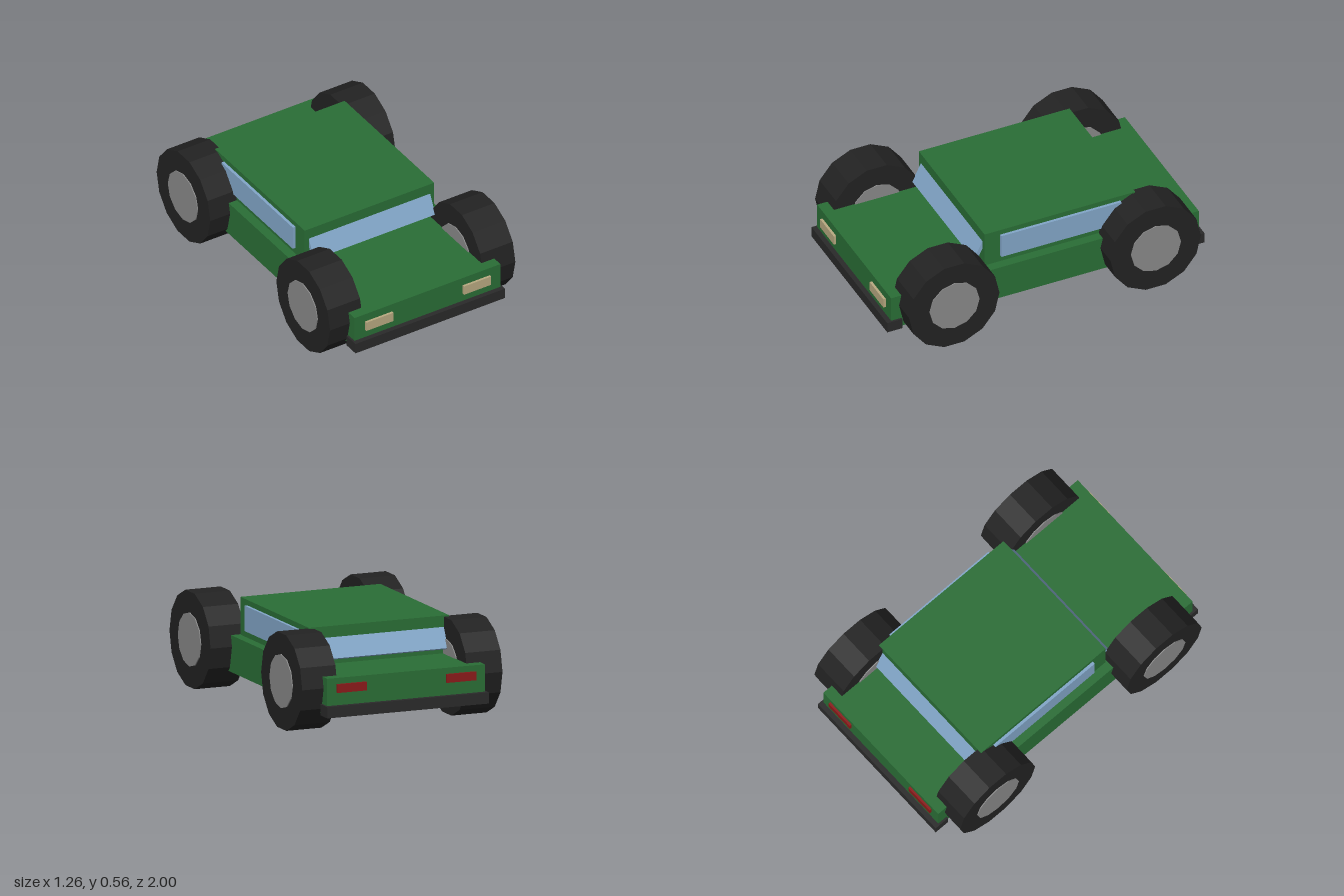
import * as THREE from 'three';

const mat = (color) => new THREE.MeshStandardMaterial({ color, flatShading: true });

export function createModel() {
  const car = new THREE.Group();
  car.name = 'car';
  const paint = mat(0x2a6e36), glass = mat(0x82a6c8), rubber = mat(0x222222);
  const trim = mat(0x2a2a2a), rimGrey = mat(0x888888);
  const cream = mat(0xb8a980), red = mat(0x8b1a1a);

  // box given by its size and centre
  const box = (name, material, [w, h, d], [x, y, z]) => {
    const mesh = new THREE.Mesh(new THREE.BoxGeometry(w, h, d), material);
    mesh.name = name;
    mesh.position.set(x, y, z);
    car.add(mesh);
    return mesh;
  };

  // body and cabin
  box('body', paint, [0.985, 0.215, 1.94], [0, 0.237, 0]);
  box('cabin', paint, [0.875, 0.225, 0.95], [0, 0.452, -0.12]);

  // sloping front and rear glass
  box('windshield', glass, [0.82, 0.16, 0.023], [0, 0.452, 0.365]).rotation.x = -0.456;
  box('rearWindow', glass, [0.82, 0.16, 0.023], [0, 0.452, -0.605]).rotation.x = 0.456;

  // bumpers
  box('frontBumper', trim, [1.01, 0.065, 0.095], [0, 0.153, 0.9525]);
  box('rearBumper', trim, [1.01, 0.065, 0.095], [0, 0.153, -0.9525]);

  // axles run along x
  const tireGeo = new THREE.CylinderGeometry(0.285, 0.285, 0.22, 14).rotateZ(Math.PI / 2);
  const rimGeo = new THREE.CylinderGeometry(0.157, 0.157, 0.232, 12).rotateZ(Math.PI / 2);

  for (const [side, s] of [['left', 1], ['right', -1]]) {
    // side glass and lamps
    box(side + 'SideWindow', glass, [0.02, 0.148, 0.757], [s * 0.445, 0.459, -0.122]);
    box(side + 'Headlight', cream, [0.183, 0.058, 0.03], [s * 0.33, 0.265, 0.97]);
    box(side + 'TailLight', red, [0.183, 0.05, 0.03], [s * 0.342, 0.284, -0.968]);

    // wheels
    for (const [end, z] of [['Front', 0.635], ['Rear', -0.635]]) {
      const wheel = new THREE.Group();
      wheel.name = side + end + 'Wheel';
      wheel.position.set(s * 0.516, 0.279, z);
      const tire = new THREE.Mesh(tireGeo, rubber);
      tire.name = 'tire';
      const rim = new THREE.Mesh(rimGeo, rimGrey);
      rim.name = 'rim';
      wheel.add(tire, rim);
      car.add(wheel);
    }
  }
  return car;
}
